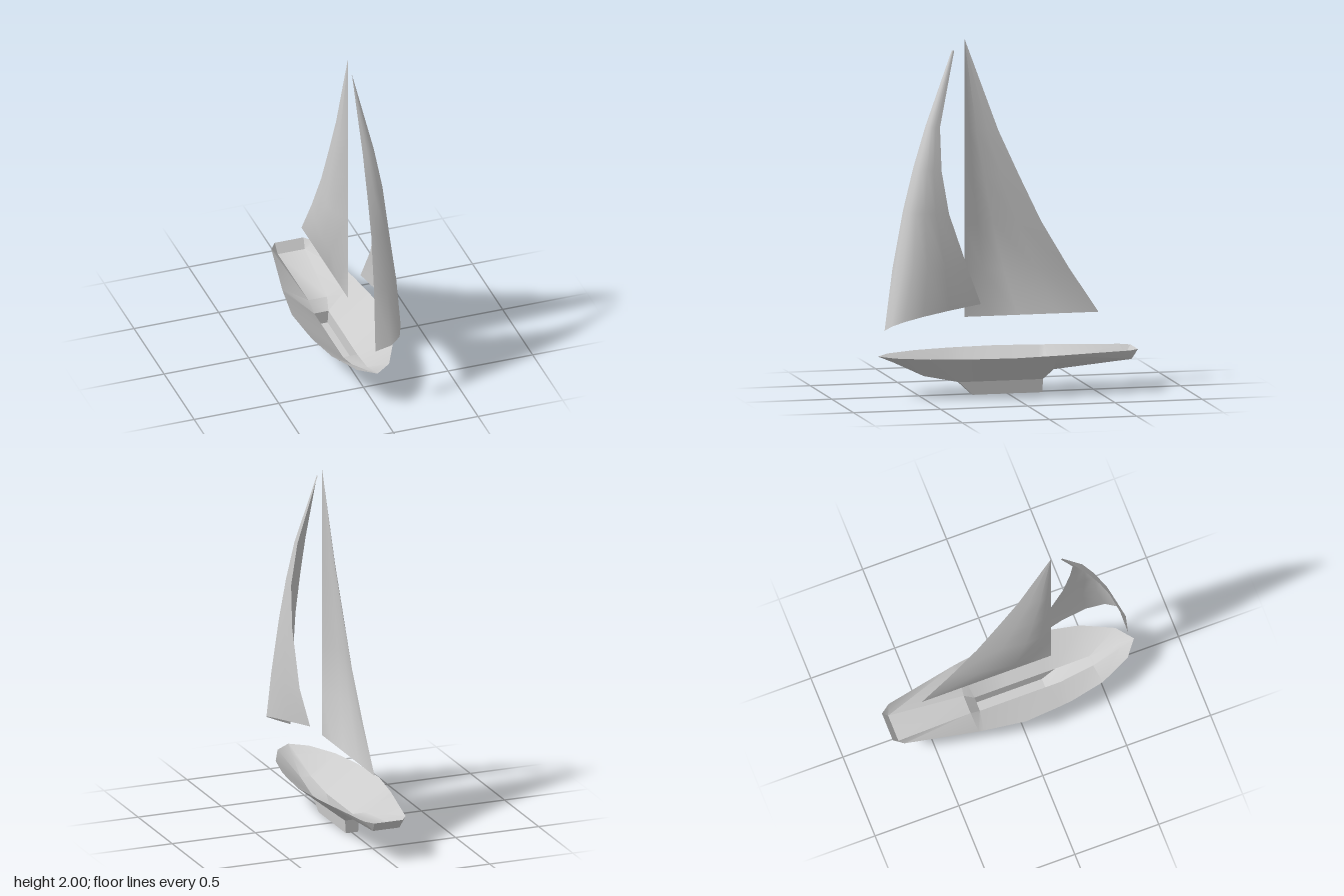
import * as THREE from 'three';
import { toCreasedNormals } from 'three/addons/utils/BufferGeometryUtils.js';

const material = new THREE.MeshStandardMaterial({ color: 0xcccccc, side: THREE.DoubleSide });

// Skin a surface over rows of points (every row has the same number of points)
function loft(rows) {
  const n = rows[0].length, index = [];
  for (let i = 0; i < rows.length - 1; i++) {
    for (let j = 0; j < n - 1; j++) {
      const a = i * n + j, b = a + n;
      index.push(a, b, a + 1, a + 1, b, b + 1);
    }
  }
  const geometry = new THREE.BufferGeometry();
  geometry.setAttribute('position', new THREE.Float32BufferAttribute(rows.flat(2), 3));
  geometry.setIndex(index);
  geometry.computeVertexNormals();
  return geometry;
}

function part(name, geometry) {
  const mesh = new THREE.Mesh(geometry, material);
  mesh.name = name;
  return mesh;
}

// Open hull with a hollow keel, stations from bow to stern
function hull() {
  const rim = 0.23;
  // rim x, rim z, chine x, chine y, chine z, keel depth y, keel half width
  const stations = [
    [0, 0.735, 0, 0.23, 0.735],
    [0.095, 0.66, 0.012, 0.195, 0.65],
    [0.18, 0.48, 0.03, 0.115, 0.48],
    [0.222, 0.28, 0.042, 0.075, 0.28],
    [0.23, 0.2, 0.042, 0.075, 0.2, 0, 0.037],
    [0.245, 0, 0.042, 0.075, 0, 0, 0.037],
    [0.212, -0.24, 0.042, 0.075, -0.2, 0, 0.037],
    [0.212, -0.24, 0.042, 0.075, -0.2],
    [0.207, -0.27, 0.055, 0.13, -0.26],
    [0.125, -0.68, 0.08, 0.175, -0.7],
    [0.085, -0.735, 0.08, 0.175, -0.7],
    [0.085, -0.735, 0.085, 0.23, -0.735], // closes the transom
  ];
  const rows = stations.map(([rx, rz, cx, cy, cz, ky = cy, kx = cx]) => {
    const half = [[rx, rim, rz], [cx, cy, cz], [kx, ky, cz]];
    const mirrored = half.map(([x, y, z]) => [-x, y, z]);
    return [...mirrored, ...half.reverse()];
  });
  return toCreasedNormals(loft(rows), 0.6);
}

// Mainsail: straight luff, curved leech, belly towards -x
function mainsail() {
  const luffZ = 0.24;
  const draft = [[0, 0], [0.2, 0.93], [0.4, 1], [0.7, 0.65], [1, 0]];
  // height, leech z, belly depth
  const levels = [
    [0.435, -0.53, 0], [0.69, -0.36, 0.065], [0.96, -0.2, 0.063],
    [1.22, -0.075, 0.054], [1.48, 0.045, 0.035], [2, 0.238, 0],
  ];
  return loft(levels.map(([y, leechZ, belly]) =>
    draft.map(([t, w]) => [-belly * w, y, luffZ + (leechZ - luffZ) * t])));
}

// Foresail: each level is an arc from luff through a control point to leech
function foresail() {
  const levels = [
    [[0, 0.355, 0.7], [0.3, 0.455, 0.82], [0.1, 0.52, 0.17]],
    [[0.008, 0.72, 0.655], [0.265, 0.72, 0.7], [0.13, 0.72, 0.25]],
    [[0.013, 1.05, 0.595], [0.19, 1.05, 0.62], [0.13, 1.04, 0.36]],
    [[0.01, 1.29, 0.535], [0.145, 1.29, 0.55], [0.12, 1.28, 0.4]],
    [[0.008, 1.52, 0.465], [0.1, 1.52, 0.48], [0.082, 1.52, 0.4]],
    [[0, 1.94, 0.312], [0.004, 1.94, 0.31], [0.002, 1.94, 0.298]],
  ];
  return loft(levels.map((points) => {
    const arc = new THREE.QuadraticBezierCurve3(...points.map((p) => new THREE.Vector3(...p)));
    return arc.getPoints(6).map((p) => p.toArray());
  }));
}

export function createModel() {
  const boat = new THREE.Group();
  boat.name = 'sailboat';
  boat.add(part('hull', hull()), part('mainsail', mainsail()), part('foresail', foresail()));
  return boat;
}
